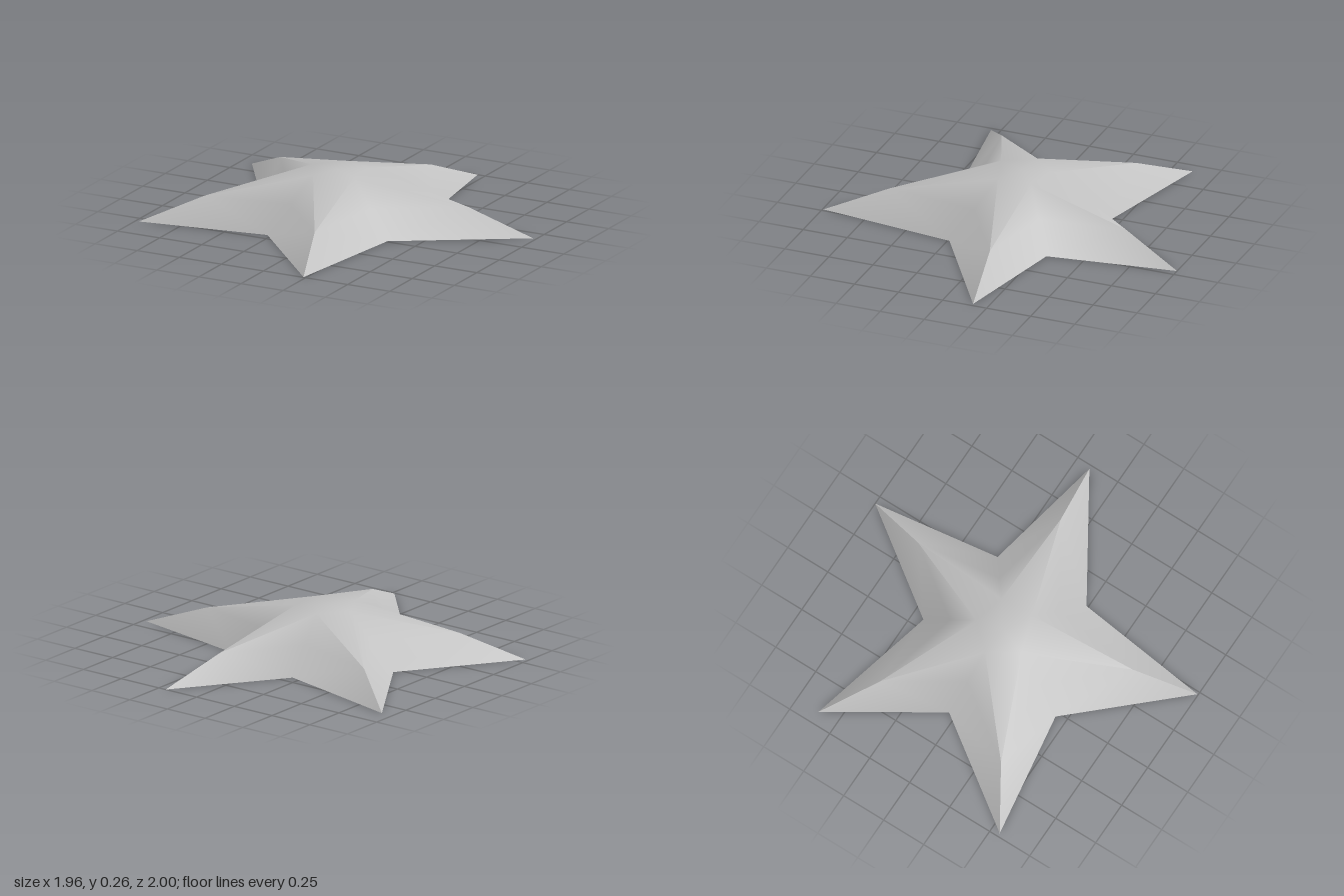
import * as THREE from 'three';
import { toCreasedNormals } from 'three/addons/utils/BufferGeometryUtils.js';

// Slightly irregular star outline: tip, notch, tip, notch ... as [x, z]
const OUTLINE = [
  [0.205, -1.0], [0.305, -0.3], [0.98, -0.165], [0.33, 0.24], [0.235, 0.995],
  [-0.275, 0.44], [-0.98, 0.55], [-0.56, -0.04], [-0.93, -0.615], [-0.2, -0.435],
];
const CENTER = [-0.098, 0];

// The outline shrunk toward the centre at a given height
function ring(scale, y) {
  return OUTLINE.map(([x, z]) => new THREE.Vector3(
    CENTER[0] + (x - CENTER[0]) * scale, y, CENTER[1] + (z - CENTER[1]) * scale));
}

function build(triangles) {
  const g = new THREE.BufferGeometry().setFromPoints(triangles);
  g.computeVertexNormals();
  return g;
}

export function createModel() {
  const star = new THREE.Group();
  star.name = 'star';
  const grey = new THREE.MeshStandardMaterial({ color: 0xc0c0c0 });
  grey.name = 'grey';

  const base = ring(1, 0), mid = ring(0.667, 0.135), top = ring(0.342, 0.265);
  const apex = new THREE.Vector3(CENTER[0], 0.265, CENTER[1]);
  const floor = new THREE.Vector3(CENTER[0], 0, CENTER[1]);
  const shell = [], under = [];

  for (let tip = 0; tip < 10; tip += 2) {
    const a = (tip + 9) % 10, b = tip + 1; // notches on both sides of this arm
    // Sloping lower sides of the arm
    shell.push(base[a], mid[a], mid[tip], base[a], mid[tip], base[tip]);
    shell.push(base[tip], mid[tip], base[b], mid[tip], mid[b], base[b]);
    // Upper sides and the wedge along the ridge
    shell.push(mid[a], top[a], mid[tip], mid[tip], top[b], mid[b]);
    shell.push(mid[tip], top[a], top[b]);
    // Small flat pentagon on top
    shell.push(top[a], apex, top[b]);
    // Flat underside
    under.push(floor, base[a], base[tip], floor, base[tip], base[b]);
  }

  const body = new THREE.Mesh(toCreasedNormals(build(shell), 1.0), grey);
  body.name = 'starBody';
  const underside = new THREE.Mesh(build(under), grey);
  underside.name = 'underside';
  star.add(body, underside);
  return star;
}
